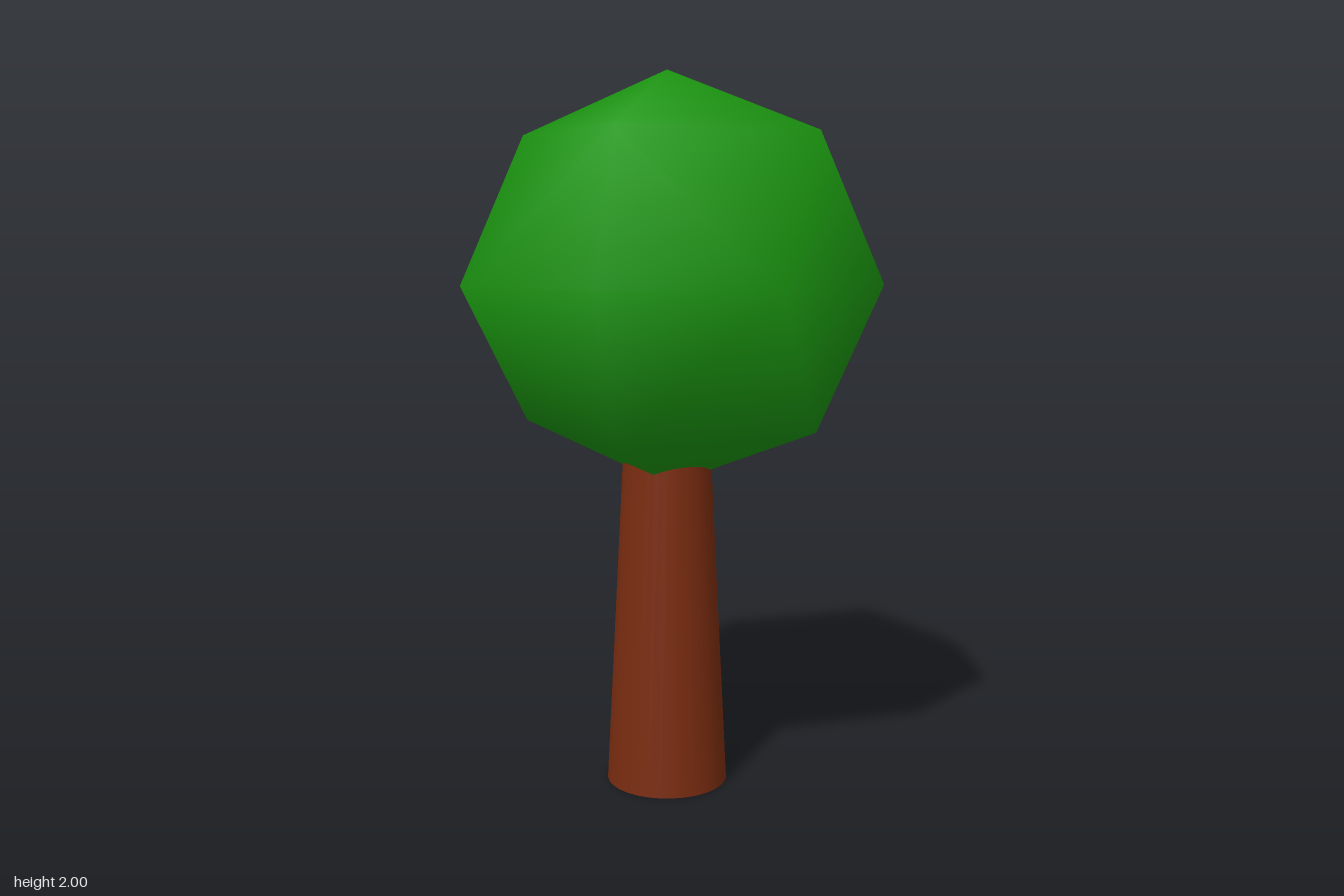
import * as THREE from 'three';

export function createModel() {
  const tree = new THREE.Group();
  tree.name = 'tree';

  const add = (name, geometry, color, y) => {
    const mesh = new THREE.Mesh(geometry, new THREE.MeshStandardMaterial({ color }));
    mesh.name = name;
    mesh.position.y = y;
    tree.add(mesh);
    return mesh;
  };

  // Tapered trunk, its top end sunk into the canopy
  const trunkHeight = 1.14;
  add('trunk', new THREE.CylinderGeometry(0.114, 0.172, trunkHeight, 32), 0x7a2c10, trunkHeight / 2);

  // Faceted outline with smooth normals, slightly flattened
  const canopy = add('canopy', new THREE.OctahedronGeometry(0.6, 1), 0x1b9610, 1.43);
  canopy.scale.y = 0.95;

  return tree;
}
